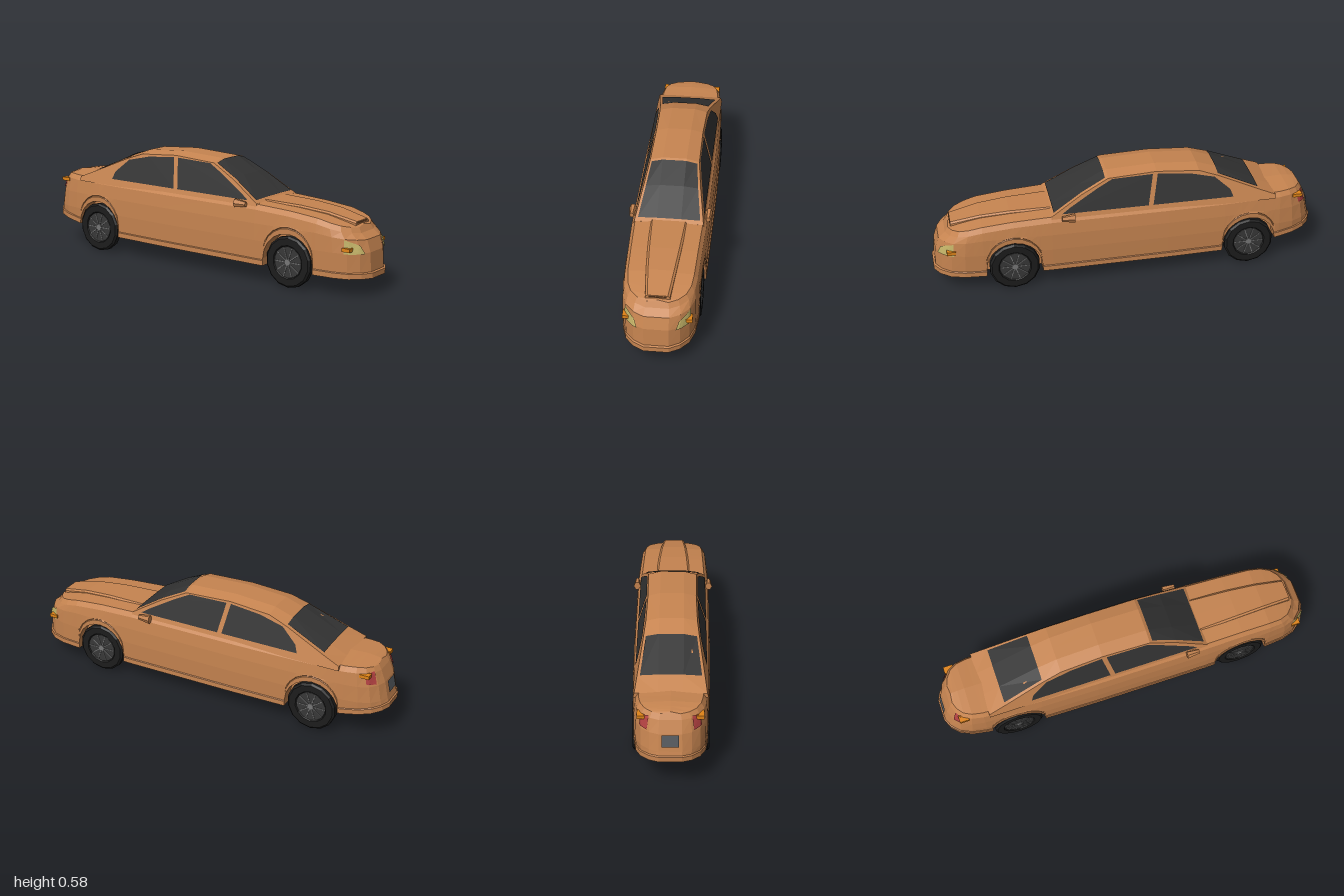
import * as THREE from 'three';

const mat = (color, side = THREE.FrontSide) =>
  new THREE.MeshStandardMaterial({ color, side, flatShading: true, roughness: 0.8 });
const PAINT = mat(0xc68450), GLASS = mat(0x333333, THREE.DoubleSide), TYRE = mat(0x1c1c1c);
const RIM = mat(0x383838), SPOKE = mat(0x777777), AMBER = mat(0xe08418), SLOT = mat(0x7a4e2c);
const LAMP = mat(0xc4b468, THREE.DoubleSide), RED = mat(0xb04040, THREE.DoubleSide);
const PLATE = mat(0x555a5e, THREE.DoubleSide);

// Piecewise linear lookup in [[x, value], ...]
function lerpTable(t, x) {
  if (x <= t[0][0]) return t[0][1];
  for (let i = 1; i < t.length; i++) {
    if (x <= t[i][0]) {
      const k = (x - t[i - 1][0]) / (t[i][0] - t[i - 1][0]);
      return t[i - 1][1] + k * (t[i][1] - t[i - 1][1]);
    }
  }
  return t[t.length - 1][1];
}

function mesh(name, geometry, material, x = 0, y = 0, z = 0) {
  const m = new THREE.Mesh(geometry, material);
  m.name = name;
  m.position.set(x, y, z);
  return m;
}

// Surface through rows of [x, y, z] points
function grid(rows) {
  const n = rows[0].length, index = [];
  for (let i = 0; i < rows.length - 1; i++) {
    for (let j = 0; j < n - 1; j++) {
      const a = i * n + j, b = a + n;
      index.push(a, b, b + 1, a, b + 1, a + 1);
    }
  }
  const g = new THREE.BufferGeometry();
  g.setAttribute('position', new THREE.Float32BufferAttribute(rows.flat(2), 3));
  g.setIndex(index);
  g.computeVertexNormals();
  return g;
}

// Closed loft: half sections run from bottom centre to top centre and are mirrored in z
function loft(halves) {
  const flat = (h) => h.map(([x, y]) => [x, y, 0]);
  const all = [flat(halves[0]), ...halves, flat(halves[halves.length - 1])];
  return grid(all.map((h) => [...h, ...h.slice(0, -1).reverse().map(([x, y, z]) => [x, y, -z])]));
}

// Body tables along the length
const AXLES = [-0.635, 0.595], AXLE_Y = 0.13, ARCH = 0.142;
const WIDTH = [[-1, 0.055], [-0.98, 0.1], [-0.94, 0.14], [-0.88, 0.165], [-0.8, 0.176], [-0.5, 0.19],
  [-0.2, 0.195], [0.4, 0.195], [0.75, 0.184], [0.85, 0.175], [0.92, 0.153], [0.97, 0.112], [1, 0.06]];
const DECK = [[-1, 0.395], [-0.9, 0.405], [-0.75, 0.4], [0.4, 0.4], [0.6, 0.39], [0.75, 0.375], [0.88, 0.355], [1, 0.335]];
const FLOOR = [[-1, 0.165], [-0.77, 0.13], [-0.5, 0.095], [1, 0.09]];
const BELT = [[-0.8, 0.3], [0.75, 0.3], [1, 0.275]];
// How far each row reaches at the nose and at the tail
const NOSE = [1, 1, 1, 1, 1, 0.99, 0.985, 0.965, 0.93, 0.915, 0.91];
const TAIL = [1, 1, 1, 1, 1, 0.993, 0.988, 0.97, 0.945, 0.93, 0.925];

function bodySection(u) {
  const w = lerpTable(WIDTH, u), top = lerpTable(DECK, u), floor = lerpTable(FLOOR, u);
  let sill = floor;
  for (const c of AXLES) {
    const d = Math.abs(u - c);
    if (d < ARCH + 0.0005) sill = AXLE_Y + Math.sqrt(Math.max(0, ARCH * ARCH - d * d));
  }
  const inner = Math.min(0.125, w * 0.7);
  const rows = [
    [floor, 0], [floor, inner], [sill, inner], [sill, w], [sill + 0.026, w],
    [sill + 0.03, w * 0.98], [Math.max(0.215, sill + 0.034), w], [Math.max(lerpTable(BELT, u), sill + 0.038), w * 0.99],
    [top - 0.033, w * 0.95], [top - 0.008, w * 0.86], [top, 0],
  ];
  return rows.map(([y, z], r) => {
    let x = u;
    if (u > 0.75) x = 0.75 + (u - 0.75) * (NOSE[r] - 0.75) / 0.25;
    if (u < -0.8) x = -0.8 + (u + 0.8) * (TAIL[r] - 0.8) / 0.2;
    return [x, y, z];
  });
}

function bodyGeometry() {
  const us = [-1, -0.98, -0.94, -0.88, -0.8, -0.35, -0.2, 0.1, 0.4, 0.75, 0.8, 0.85, 0.92, 0.97, 1];
  for (const c of AXLES) {
    us.push(c - ARCH - 0.001, c + ARCH + 0.001);
    for (let i = 0; i <= 10; i++) us.push(c - ARCH * Math.cos((i * Math.PI) / 10));
  }
  return loft(us.sort((a, b) => a - b).map(bodySection));
}

// Cabin: the sides lean in at a constant slope
const ROOF = [[-0.77, 0.395], [-0.68, 0.435], [-0.47, 0.533], [-0.37, 0.568], [-0.15, 0.585],
  [0.1, 0.575], [0.24, 0.5], [0.4, 0.395]];
const DROP = [[-0.77, 0.002], [-0.47, 0.015], [0.1, 0.017], [0.4, 0.002]];
const sideZ = (y) => 0.17 - 0.29 * (y - 0.4);
function cabinSection([x, y]) {
  const edge = y - lerpTable(DROP, x);
  return [[x, 0.37, 0], [x, 0.37, sideZ(0.37)], [x, edge, sideZ(edge)], [x, y, 0.06], [x, y, 0]];
}

// Front and rear glass lying just above the cabin surface
function screen(xs) {
  return grid(xs.map((x) => {
    const y = lerpTable(ROOF, x), drop = lerpTable(DROP, x), e = sideZ(y - drop), g = e * 0.91;
    const yEdge = y - drop * (g - 0.06) / (e - 0.06);
    return [[-g, yEdge], [-0.06, y], [0.06, y], [g, yEdge]].map(([z, h]) => [x, h + 0.005, z]);
  }));
}

function sideWindow(points, s) {
  const g = new THREE.ShapeGeometry(new THREE.Shape(points.map(([x, y]) => new THREE.Vector2(x, y))));
  const p = g.attributes.position;
  for (let i = 0; i < p.count; i++) p.setZ(i, s * (sideZ(p.getY(i)) + 0.004));
  g.computeVertexNormals();
  return g;
}

// Four-cornered panel of [z, y] corners pressed onto the nose (dir 1) or tail (dir -1)
function panel(target, corners, dir) {
  const ray = new THREE.Raycaster(), rows = [];
  for (let i = 0; i <= 5; i++) {
    const row = [];
    for (let j = 0; j <= 5; j++) {
      const a = i / 5, b = j / 5, k = [(1 - a) * (1 - b), a * (1 - b), a * b, (1 - a) * b];
      const [z, y] = [0, 1].map((c) => corners.reduce((t, p, q) => t + p[c] * k[q], 0));
      ray.set(new THREE.Vector3(dir * 2, y, z), new THREE.Vector3(-dir, 0, 0));
      const hit = ray.intersectObject(target)[0];
      row.push([(hit ? hit.point.x : dir * 0.88) + dir * 0.008, y, z]);
    }
    rows.push(row);
  }
  return grid(rows);
}

function wheel(x, s) {
  const g = new THREE.Group();
  g.name = 'wheel';
  const disc = (name, r, depth, z, m, n) =>
    g.add(mesh(name, new THREE.CylinderGeometry(r, r, depth, n).rotateX(Math.PI / 2), m, 0, 0, z));
  const profile = [[0, -0.022], [0.118, -0.022], [0.13, -0.012], [0.13, 0.014], [0.12, 0.023], [0.085, 0.023], [0.08, 0.016], [0, 0.016]];
  const tyre = new THREE.LatheGeometry(profile.map(([r, y]) => new THREE.Vector2(r, y)), 14).rotateX(Math.PI / 2);
  g.add(mesh('tyre', tyre, TYRE));
  disc('rim', 0.079, 0.004, 0.017, RIM, 14);
  disc('hub', 0.016, 0.008, 0.019, SPOKE, 10);
  for (let i = 0; i < 10; i++) {
    const spoke = mesh('spoke', new THREE.BoxGeometry(0.064, 0.004, 0.005).translate(0.044, 0, 0), SPOKE, 0, 0, 0.019);
    spoke.rotation.z = (i * Math.PI) / 5;
    g.add(spoke);
  }
  g.position.set(x, AXLE_Y, s * 0.163);
  if (s < 0) g.rotation.y = Math.PI;
  return g;
}

export function createModel() {
  const car = new THREE.Group();
  car.name = 'car';
  const body = mesh('body', bodyGeometry(), PAINT);
  car.add(body, mesh('cabin', loft(ROOF.map(cabinSection)), PAINT));
  car.add(mesh('windscreen', screen([0.115, 0.24, 0.385]), GLASS));
  car.add(mesh('rearWindow', screen([-0.68, -0.47]), GLASS));

  // Raised bonnet panel ending in an air scoop
  const bonnet = [[0.39, 0.401, 0.088], [0.6, 0.396, 0.078], [0.75, 0.383, 0.068], [0.9, 0.352, 0.054]];
  car.add(mesh('bonnetScoop', loft(bonnet.map(([x, y, w]) =>
    [[x, y - 0.03, 0], [x, y - 0.03, w + 0.006], [x, y - 0.008, w + 0.004], [x, y, w - 0.006], [x, y, 0]])), PAINT));
  car.add(mesh('scoopSlot', new THREE.BoxGeometry(0.006, 0.007, 0.085), SLOT, 0.9, 0.344, 0));

  car.add(mesh('numberPlate', panel(body, [[-0.04, 0.24], [0.04, 0.24], [0.04, 0.3], [-0.04, 0.3]], -1), PLATE));

  const rearGlass = [[-0.545, 0.405], [-0.53, 0.445], [-0.45, 0.515], [-0.32, 0.545], [-0.155, 0.56], [-0.125, 0.405]];
  const frontGlass = [[-0.1, 0.405], [-0.13, 0.56], [0.08, 0.555], [0.16, 0.515], [0.3, 0.435], [0.345, 0.405]];
  for (const s of [1, -1]) {
    car.add(mesh('rearSideWindow', sideWindow(rearGlass, s), GLASS));
    car.add(mesh('frontSideWindow', sideWindow(frontGlass, s), GLASS));
    for (const x of AXLES) car.add(wheel(x, s));

    // Lamps
    const head = [[0.092, 0.212], [0.16, 0.212], [0.155, 0.28], [0.106, 0.252]];
    const tail = [[0.11, 0.31], [0.145, 0.315], [0.14, 0.368], [0.1, 0.375]];
    car.add(mesh('headlamp', panel(body, head.map(([z, y]) => [s * z, y]), 1), LAMP));
    car.add(mesh('tailLamp', panel(body, tail.map(([z, y]) => [s * z, y]), -1), RED));
    car.add(mesh('frontIndicator', new THREE.BoxGeometry(0.045, 0.018, 0.04), AMBER, 0.91, 0.234, s * 0.146));
    car.add(mesh('rearIndicator', new THREE.BoxGeometry(0.05, 0.018, 0.036), AMBER, -0.897, 0.36, s * 0.138));

    // Door mirror: a box narrowing towards the front, on a short arm
    const housing = new THREE.CylinderGeometry(0.018, 0.03, 0.065, 6).rotateZ(-Math.PI / 2).scale(1, 0.8, 0.62);
    car.add(mesh('doorMirror', housing, PAINT, 0.315, 0.387, s * 0.191));
    car.add(mesh('mirrorArm', new THREE.BoxGeometry(0.03, 0.015, 0.03), PAINT, 0.32, 0.382, s * 0.176));
  }
  return car;
}
